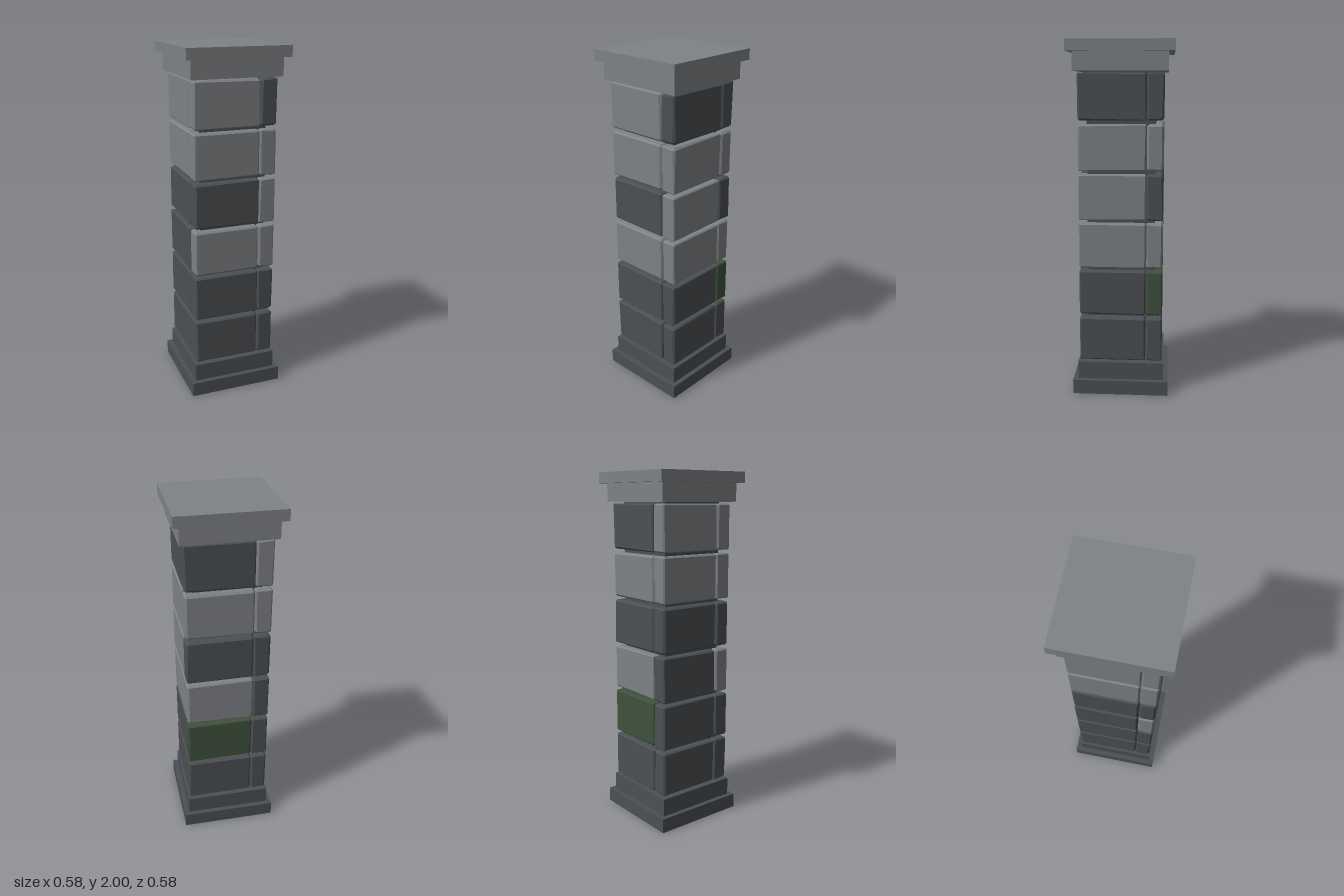
import * as THREE from 'three';
import { ConvexGeometry } from 'three/addons/geometries/ConvexGeometry.js';

const material = (name, color) => {
  const m = new THREE.MeshStandardMaterial({ color });
  m.name = name;
  return m;
};

// Small seeded generator for uneven chamfers
let seed = 7;
const random = () => (seed = (seed * 16807) % 2147483647) / 2147483647;

// Box with hand-cut chamfers: every corner is trimmed by its own amount
function stoneGeometry(w, h, d) {
  const points = [];
  for (const sx of [-1, 1]) for (const sy of [-1, 1]) for (const sz of [-1, 1]) {
    const b = 0.004 + random() * 0.008;
    const [x, y, z] = [w / 2, h / 2, d / 2];
    points.push(
      new THREE.Vector3(sx * x, sy * (y - b), sz * (z - b)),
      new THREE.Vector3(sx * (x - b), sy * y, sz * (z - b)),
      new THREE.Vector3(sx * (x - b), sy * (y - b), sz * z)
    );
  }
  return new ConvexGeometry(points);
}

export function createModel() {
  const group = new THREE.Group();
  group.name = 'stonePillar';
  const light = material('lightStone', 0x7f8286);
  const dark = material('darkStone', 0x4c5054);
  const mossy = material('mossyStone', 0x40523d);

  // Square slab between two heights
  const slab = (name, half, y0, y1, mat) => {
    const mesh = new THREE.Mesh(new THREE.BoxGeometry(half * 2, y1 - y0, half * 2), mat);
    mesh.position.y = (y0 + y1) / 2;
    mesh.name = name;
    group.add(mesh);
  };
  slab('basePlinth', 0.274, 0, 0.083, dark);
  slab('baseStep', 0.246, 0.083, 0.185, dark);
  slab('core', 0.19, 0.185, 1.838, dark);
  slab('capitalStep', 0.258, 1.838, 1.94, light);
  slab('capSlab', 0.291, 1.94, 2, light);

  // Courses from bottom to top; stones in order front, left, back, right
  const courses = ['DDDD', 'DDMD', 'LLLD', 'DLDD', 'LLLL', 'LDDL'];
  const stones = { L: light, D: dark, M: mossy };
  const sides = ['front', 'left', 'back', 'right'];
  courses.forEach((course, row) => {
    const courseGroup = new THREE.Group();
    courseGroup.name = `course${row + 1}`;
    courseGroup.position.y = 0.324 + row * 0.2755;
    // Each stone is turned a quarter so the four overlap like a pinwheel
    sides.forEach((side, i) => {
      const stone = new THREE.Mesh(stoneGeometry(0.376, 0.255, 0.092), stones[course[i]]);
      stone.name = `${side}Stone`;
      stone.position.set(-0.048, 0, 0.19).applyAxisAngle(THREE.Object3D.DEFAULT_UP, i * Math.PI / 2);
      stone.rotation.y = i * Math.PI / 2;
      courseGroup.add(stone);
    });
    group.add(courseGroup);
  });
  return group;
}
